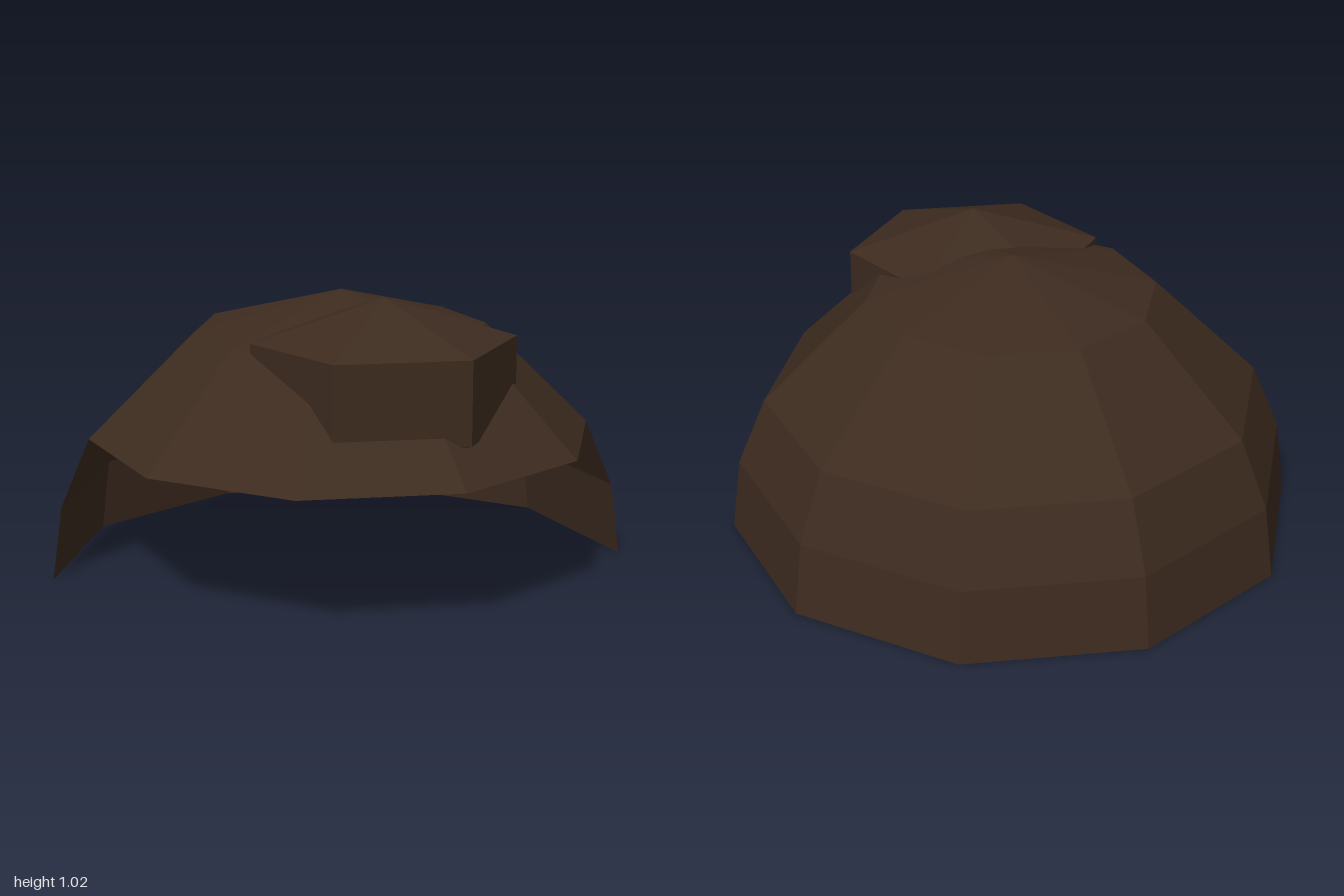
import * as THREE from 'three';

const CENTRE_Z = 0.064;

export function createModel() {
  const group = new THREE.Group();
  group.name = 'hair';

  const darkBrown = new THREE.MeshStandardMaterial({
    color: 0x3d2b1f, flatShading: true, side: THREE.DoubleSide,
  });
  darkBrown.name = 'darkBrown';

  const add = (name, geometry, scale, position) => {
    geometry.scale(...scale);
    const mesh = new THREE.Mesh(geometry, darkBrown);
    mesh.name = name;
    mesh.position.set(...position);
    group.add(mesh);
  };

  // Ten-sided cap over the crown, open underneath
  add('crown', new THREE.SphereGeometry(1, 10, 2, 0, Math.PI * 2, 0, Math.PI / 3),
    [1, 0.987, 1], [0, 0, CENTRE_Z]);

  // Lower band that hangs around the back half only
  add('backHair', new THREE.SphereGeometry(1, 5, 1, Math.PI, Math.PI, Math.PI / 3, Math.PI / 6),
    [1, 0.987, 1], [0, 0, CENTRE_Z]);

  // Six-sided tuft sunk into the front, slightly off centre
  add('frontTuft', new THREE.SphereGeometry(1, 6, 3),
    [0.508, 0.277, 0.462], [0.09, 0.743, 0.405]);

  return group;
}
